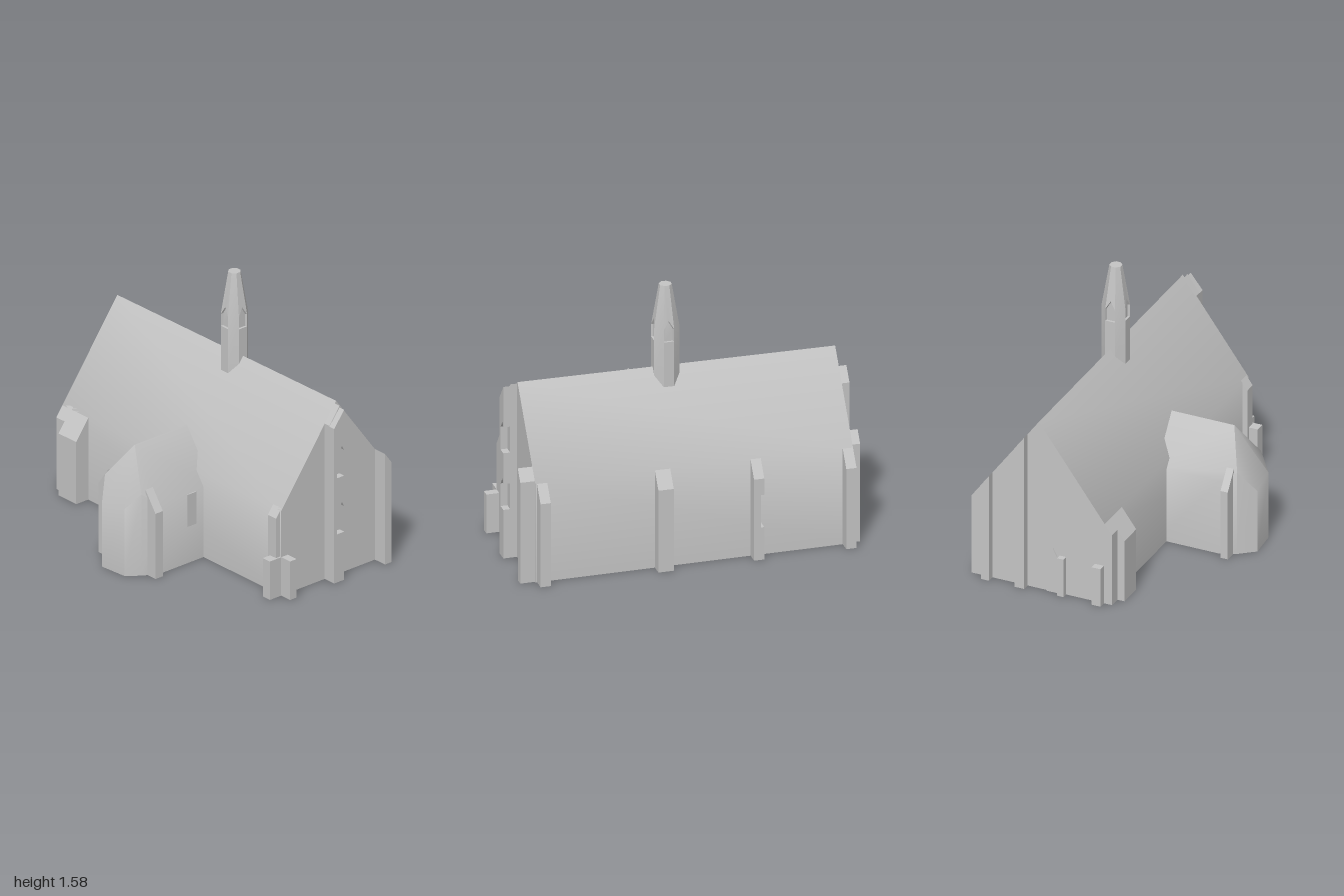
import * as THREE from 'three';
import { toCreasedNormals } from 'three/addons/utils/BufferGeometryUtils.js';

const stone = new THREE.MeshStandardMaterial({ color: 0xc4c4c4 });
stone.name = 'pale stone';

// Roof heights of the nave and of the porch
const RIDGE_Z = -0.25;
const roofY = (x, z) => 1.075 + 0.01 * x - 1.36 * Math.abs(z - RIDGE_Z);
const porchY = (x) => 0.73 - 1.4 * Math.abs(x - 0.04);

// Mesh from convex polygons; with a centre given, each polygon is turned to face away from it
function solid(name, polys, crease, centre) {
  const pos = [];
  for (const poly of polys) {
    let pts = poly.map((p) => new THREE.Vector3(...p));
    if (centre) {
      const normal = new THREE.Vector3();
      pts.forEach((p, i) => normal.add(new THREE.Vector3().crossVectors(p, pts[(i + 1) % pts.length])));
      const mid = pts.reduce((s, p) => s.add(p), new THREE.Vector3()).divideScalar(pts.length);
      if (normal.dot(mid.sub(new THREE.Vector3(...centre))) < 0) pts = pts.reverse();
    }
    for (let i = 1; i < pts.length - 1; i++) {
      for (const p of [pts[0], pts[i], pts[i + 1]]) pos.push(p.x, p.y, p.z);
    }
  }
  const geo = new THREE.BufferGeometry();
  geo.setAttribute('position', new THREE.Float32BufferAttribute(pos, 3));
  geo.computeVertexNormals();
  const mesh = new THREE.Mesh(toCreasedNormals(geo, crease), stone);
  mesh.name = name;
  return mesh;
}

// Upright block whose top follows a height or a height function
function block(name, x0, x1, z0, z1, top = roofY, base = 0) {
  const geo = new THREE.BoxGeometry(1, 1, 1);
  const p = geo.attributes.position;
  for (let i = 0; i < p.count; i++) {
    const x = p.getX(i) < 0 ? x0 : x1;
    const z = p.getZ(i) < 0 ? z0 : z1;
    const high = typeof top === 'function' ? top(x, z) : top;
    p.setXYZ(i, x, p.getY(i) < 0 ? base : high, z);
  }
  geo.computeVertexNormals();
  const mesh = new THREE.Mesh(toCreasedNormals(geo, 0.3), stone);
  mesh.name = name;
  return mesh;
}

// Outline in z and y, extruded along x
function sidePlate(name, outline, x, depth) {
  const shape = new THREE.Shape(outline.map(([z, y]) => new THREE.Vector2(-z, y)));
  const geo = new THREE.ExtrudeGeometry(shape, { depth, bevelEnabled: false });
  geo.rotateY(Math.PI / 2);
  geo.translate(x, 0, 0);
  const mesh = new THREE.Mesh(geo, stone);
  mesh.name = name;
  return mesh;
}

function makeNave() {
  const section = (x) => [
    [x, 0, 0.16], [x, roofY(x, 0.16), 0.16], [x, roofY(x, RIDGE_Z), RIDGE_Z],
    [x, roofY(x, -0.6), -0.6], [x, 0, -0.6],
  ];
  const a = section(-0.95), b = section(0.91);
  const polys = [a, b];
  a.forEach((p, i) => {
    const j = (i + 1) % a.length;
    polys.push([p, a[j], b[j], b[i]]);
  });
  return solid('nave', polys, 0.8, [0, 0.4, -0.22]);
}

// Porch with a faceted front, pitched roof and front hip
function makePorch() {
  const plan = [
    [-0.15, 0.1], [-0.15, 0.49], [-0.11, 0.58], [-0.035, 0.67],
    [0.14, 0.655], [0.2, 0.58], [0.25, 0.49], [0.25, 0.1],
  ];
  const low = plan.map(([x, z]) => [x, 0, z]);
  const high = plan.map(([x, z]) => [x, Math.min(porchY(x), 0.73 - 1.9 * (z - 0.49)), z]);
  const back = [0.04, 0.73, 0.1], front = [0.04, 0.73, 0.49];
  const polys = [
    low,
    [back, front, high[2], high[1], high[0]],
    [front, high[2], high[3], high[4], high[5]],
    [front, high[5], high[6], high[7], back],
    [low[0], high[0], back, high[7], low[7]],
  ];
  for (let i = 0; i < 7; i++) polys.push([low[i], low[i + 1], high[i + 1], high[i]]);
  return solid('porch', polys, 0.8, [0.04, 0.3, 0.35]);
}

// Eight-sided turret with pointed recesses on four sides
function makeTurret() {
  const r = 0.074, topR = 0.034, k = Math.tan(Math.PI / 8);
  const base = 0.97, sill = 1.25, spring = 1.325, tip = 1.375, top = 1.58;
  const polys = [], cap = [];
  for (let i = 0; i < 8; i++) {
    const a = (i * Math.PI) / 4, s = Math.sin(a), c = Math.cos(a);
    const at = (u, y, d) => [0.045 + s * d + c * u, y, RIDGE_Z + c * d - s * u];
    const h = r * k, t = topR * k;
    cap.push(at(-t, top, topR));
    if (i % 2) {
      polys.push([at(-h, base, r), at(h, base, r), at(h, spring, r), at(-h, spring, r)]);
      polys.push([at(-h, spring, r), at(h, spring, r), at(t, top, topR), at(-t, top, topR)]);
      continue;
    }
    const tipD = r + ((topR - r) * (tip - spring)) / (top - spring);
    const rim = [at(-h, sill, r), at(h, sill, r), at(h, spring, r), at(0, tip, tipD), at(-h, spring, r)];
    const d = r - 0.014, w = h * 0.85;
    const inner = [at(-w, sill, d), at(w, sill, d), at(w, spring, d), at(0, tip - 0.005, d), at(-w, spring, d)];
    polys.push([at(-h, base, r), at(h, base, r), rim[1], rim[0]], inner);
    rim.forEach((p, j) => {
      const n = (j + 1) % 5;
      polys.push([p, rim[n], inner[n], inner[j]]);
    });
    const tl = at(-t, top, topR), tr = at(t, top, topR);
    polys.push([rim[4], rim[3], tl], [rim[3], tr, tl], [rim[3], rim[2], tr]);
  }
  polys.push(cap);
  return solid('turret', polys, 0.3);
}

export function createModel() {
  const model = new THREE.Group();
  model.name = 'chapel';
  model.add(makeNave(), makePorch(), makeTurret());

  // Buttresses along the back wall, the third with a side notch
  for (const [x0, x1] of [[-0.95, -0.89], [0.12, 0.21], [0.84, 0.9]]) {
    model.add(block('backButtress', x0, x1, -0.67, -0.59));
  }
  model.add(
    block('notchedButtressBase', -0.41, -0.35, -0.67, -0.59, 0.2),
    block('notchedButtressMiddle', -0.39, -0.35, -0.67, -0.59, 0.4, 0.2),
    block('notchedButtressTop', -0.41, -0.35, -0.67, -0.59, roofY, 0.4),
  );

  // Buttresses at the front corners
  model.add(
    block('frontLeftButtress', 0.83, 0.9, 0.15, 0.19),
    block('frontLeftButtressFoot', 0.85, 0.91, 0.15, 0.245, 0.24),
    block('frontRightButtress', -0.95, -0.87, 0.15, 0.205),
    block('frontRightWideButtress', -0.88, -0.73, 0.15, 0.25),
  );

  // Right end (−x): two tall strips, two low feet and a pointed doorway
  model.add(
    block('rightEndButtress', -0.995, -0.94, -0.59, -0.54),
    block('rightEndTallButtress', -0.995, -0.94, -0.38, -0.32),
    block('doorJamb', -0.985, -0.94, -0.12, -0.08, 0.24),
    block('rightEndFoot', -0.995, -0.94, 0.1, 0.155, 0.24),
    sidePlate('pointedDoor', [[-0.12, 0], [-0.12, 0.2], [-0.16, 0.28], [-0.2, 0.2], [-0.2, 0]], -0.958, 0.009),
  );

  // Left end (+x): buttress, low foot and a tall pier with pointed notches
  model.add(
    block('leftEndButtress', 0.9, 0.995, -0.59, -0.54),
    block('leftEndFoot', 0.9, 0.985, 0.11, 0.16, 0.24),
    block('tallPier', 0.9, 0.95, -0.24, -0.165),
  );
  const outline = [[-0.165, 0], [-0.165, 0.965], [-0.24, 1.06]];
  for (const y of [0.65, 0.3]) {
    outline.push([-0.24, y + 0.16], [-0.223, y + 0.19], [-0.185, y + 0.14], [-0.185, y], [-0.24, y]);
  }
  outline.push([-0.24, 0]);
  model.add(sidePlate('notchedPierFace', outline, 0.95, 0.04));

  // Porch buttresses and side window
  const porchTop = (x) => porchY(x) + 0.02;
  model.add(
    block('porchRightButtress', -0.19, -0.11, 0.515, 0.56, porchTop),
    block('porchLeftButtress', 0.2, 0.285, 0.495, 0.55, porchTop),
    sidePlate('porchWindow', [[0.22, 0.23], [0.22, 0.43], [0.285, 0.43], [0.285, 0.23]], 0.249, 0.008),
  );
  return model;
}
